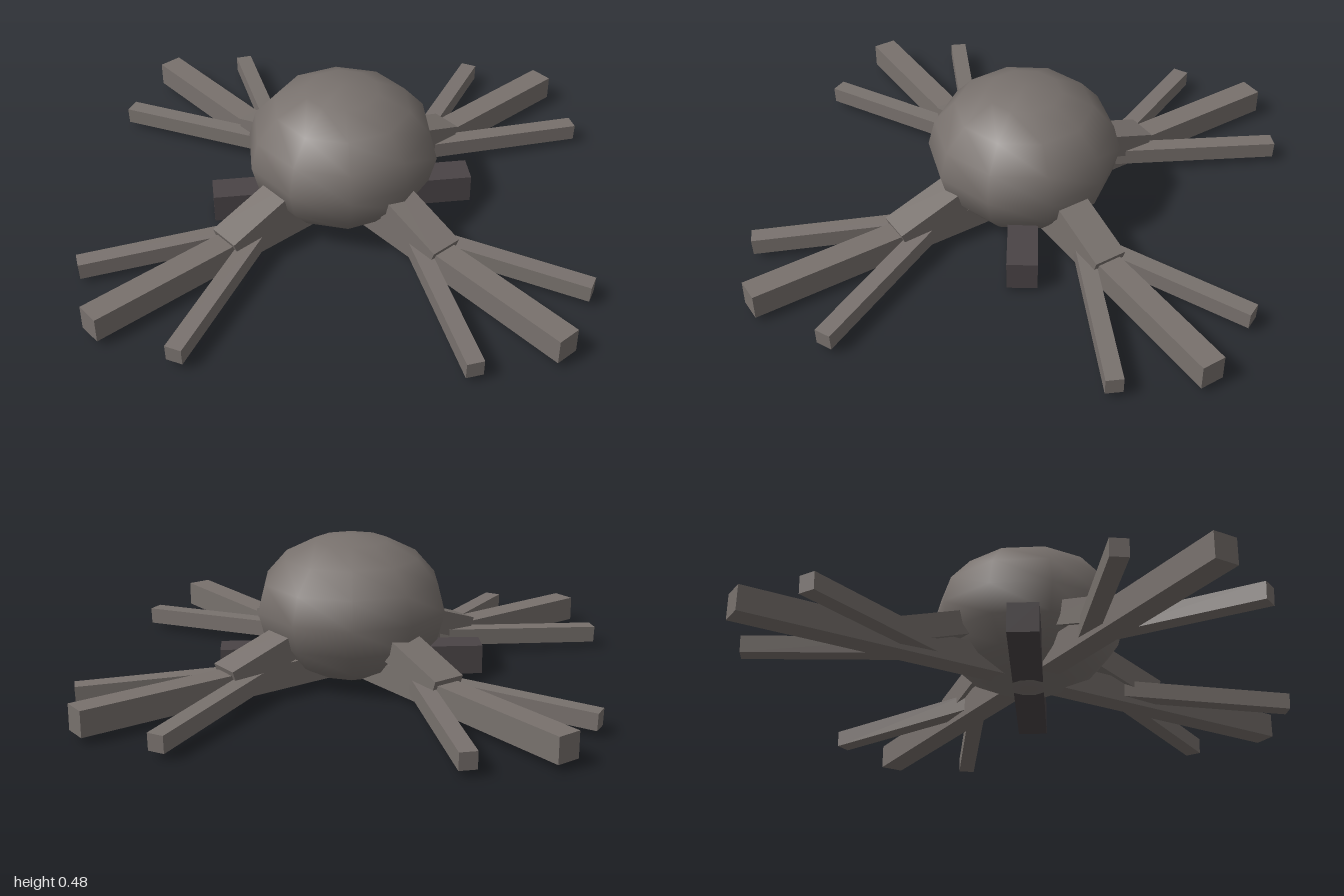
import * as THREE from 'three';

const bodyMat = new THREE.MeshStandardMaterial({ color: 0x78716d });
const darkMat = new THREE.MeshStandardMaterial({ color: 0x4a4446 });

// Square beam running from point a to point b, sides kept upright
function beam(name, a, b, width, height, material) {
  const start = new THREE.Vector3(...a), end = new THREE.Vector3(...b);
  const mesh = new THREE.Mesh(new THREE.BoxGeometry(width, height, start.distanceTo(end)), material);
  mesh.name = name;
  mesh.position.copy(start).add(end).multiplyScalar(0.5);
  mesh.lookAt(end);
  return mesh;
}

// One foot pointing along +x: sloped bracket and two splayed toes
function createFoot() {
  const foot = new THREE.Group();
  foot.name = 'foot';
  foot.add(beam('bracket', [0.1, 0.215, 0], [0.483, 0.083, 0], 0.11, 0.08, bodyMat));
  for (const side of [-1, 1]) {
    foot.add(beam('sideToe', [0.35, 0.07, side * 0.008], [0.877, 0.047, side * 0.259], 0.055, 0.055, bodyMat));
  }
  return foot;
}

export function createModel() {
  const model = new THREE.Group();
  model.name = 'fourFootedBase';

  // Squashed round body
  const body = new THREE.Mesh(new THREE.SphereGeometry(0.317, 10, 8), bodyMat);
  body.name = 'body';
  body.scale.y = 0.24 / 0.317;
  body.position.y = 0.24;
  model.add(body);

  // Two long beams crossing under the body
  model.add(beam('crossBeam', [-1, 0.0625, 0], [1, 0.0625, 0], 0.08, 0.083, bodyMat));
  model.add(beam('crossBeam', [0, 0.0625, -1], [0, 0.0625, 1], 0.08, 0.083, bodyMat));

  // Feet on all four sides
  for (let i = 0; i < 4; i++) {
    const foot = createFoot();
    foot.rotation.y = i * Math.PI / 2;
    model.add(foot);
  }

  // Dark diagonal bar under the body
  model.add(beam('diagonalBar', [-0.24, 0.058, 0.36], [0.24, 0.058, -0.36], 0.098, 0.096, darkMat));
  return model;
}
